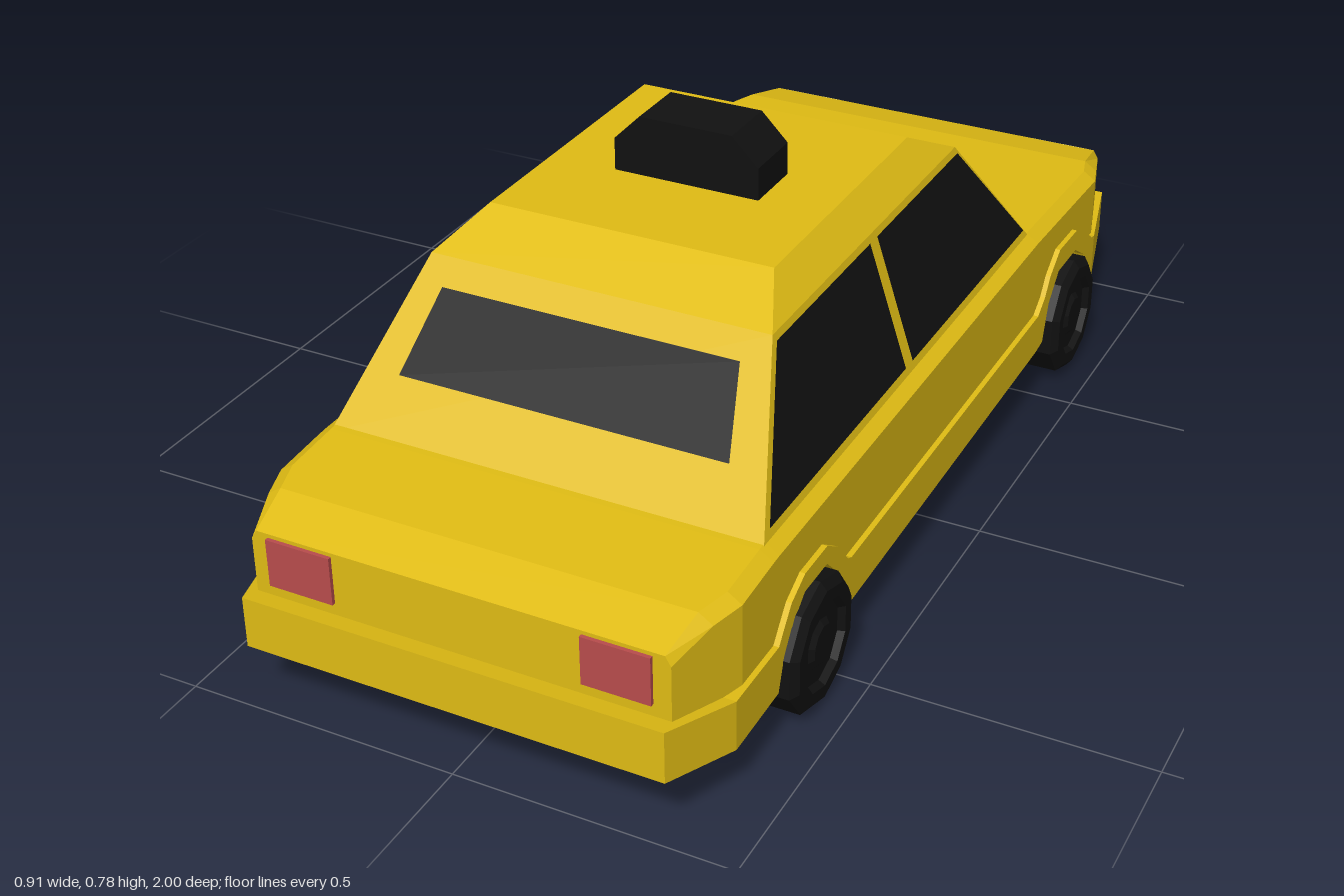
import * as THREE from 'three';

const paint = (color, extra = {}) => new THREE.MeshStandardMaterial({ color, flatShading: true, ...extra });
const yellow = paint(0xe0bc14);
const black = paint(0x111111);
const glass = paint(0x111111, { side: THREE.DoubleSide });
const red = paint(0xb84c4c);
const cream = paint(0xd6d69a);

function facets(points) {
  const geo = new THREE.BufferGeometry();
  geo.setAttribute('position', new THREE.Float32BufferAttribute(points.flat(), 3));
  geo.computeVertexNormals();
  return geo;
}

// Closed skin through rings that run counter-clockwise about the loft direction
function loft(rings) {
  const pts = [], n = rings[0].length, last = rings[rings.length - 1];
  for (let i = 0; i < rings.length - 1; i++) {
    for (let j = 0; j < n; j++) {
      const k = (j + 1) % n;
      const a = rings[i][j], b = rings[i][k], c = rings[i + 1][k], d = rings[i + 1][j];
      pts.push(a, b, c, a, c, d);
    }
  }
  for (let j = 1; j < n - 1; j++) {
    pts.push(rings[0][0], rings[0][j + 1], rings[0][j], last[0], last[j], last[j + 1]);
  }
  return facets(pts);
}

// Piecewise linear lookup in a table of [position, value]
function lookup(table, t) {
  if (t <= table[0][0]) return table[0][1];
  for (let i = 1; i < table.length; i++) {
    const [t0, v0] = table[i - 1], [t1, v1] = table[i];
    if (t <= t1) return v0 + (v1 - v0) * (t - t0) / (t1 - t0);
  }
  return table[table.length - 1][1];
}

// Sill, bumpers and wheel arches: [z, bottom y, top y]
const SILL = [
  [-1, 0.13, 0.215], [-0.8, 0.115, 0.215], [-0.785, 0.118, 0.218], [-0.74, 0.2, 0.25],
  [-0.68, 0.238, 0.282], [-0.58, 0.238, 0.285], [-0.53, 0.19, 0.25], [-0.505, 0.115, 0.215],
  [-0.47, 0.11, 0.19], [0.43, 0.095, 0.185], [0.445, 0.1, 0.192], [0.485, 0.19, 0.24],
  [0.53, 0.235, 0.27], [0.615, 0.235, 0.27], [0.665, 0.195, 0.245], [0.69, 0.16, 0.215],
  [0.71, 0.1, 0.19], [0.86, 0.097, 0.19], [1, 0.118, 0.213],
];
const SILL_WIDTH = [[-1, 0.38], [-0.8, 0.43], [0.86, 0.43], [1, 0.38]];
const BODY_WIDTH = [[-0.965, 0.375], [-0.81, 0.42], [0.82, 0.42], [0.965, 0.375]];
const BODY_TOP = [[-0.965, 0.325], [-0.86, 0.348], [-0.47, 0.365], [0.7, 0.365], [0.88, 0.352], [0.965, 0.325]];

// Cabin levels: [y, half width, front z, rear z]
const CABIN = [[0.355, 0.4, -0.475, 0.705], [0.615, 0.315, -0.27, 0.5], [0.67, 0.265, -0.16, 0.39]];
const cabinAt = (y, column) => lookup(CABIN.map((l) => [l[0], l[column]]), y);

export function createModel() {
  const car = new THREE.Group();
  car.name = 'car';
  const add = (name, geo, mat, x = 0, y = 0, z = 0) => {
    const mesh = new THREE.Mesh(geo, mat);
    mesh.name = name;
    mesh.position.set(x, y, z);
    car.add(mesh);
    return mesh;
  };

  // Sill band with bumpers and flared arches
  add('sillAndBumpers', loft(SILL.map(([z, lo, hi]) => {
    const w = lookup(SILL_WIDTH, z);
    return [[-w, lo, z], [w, lo, z], [w, hi, z], [-w, hi, z]];
  })), yellow);

  // Main body, its underside tucked inside the sill band
  const middle = SILL.map(([z, lo, hi]) => [z, (lo + hi) / 2]);
  const stations = [...middle.map(([z]) => z).filter((z) => Math.abs(z) < 0.95),
    -0.965, -0.86, -0.81, 0.82, 0.88, 0.965].sort((a, b) => a - b);
  add('body', loft(stations.map((z) => {
    const w = lookup(BODY_WIDTH, z), top = lookup(BODY_TOP, z), lo = lookup(middle, z);
    const inset = Math.abs(z) > 0.95 ? 0.01 : 0.025;
    const edge = top - 0.017;
    return [[-w, lo, z], [w, lo, z], [w, edge, z], [w - inset, top, z], [inset - w, top, z], [-w, edge, z]];
  })), yellow);

  // Cabin and roof
  add('cabin', loft(CABIN.map(([y, w, front, rear]) =>
    [[w, y, rear], [w, y, front], [-w, y, front], [-w, y, rear]])), yellow);

  // Windows: thin panes just proud of the cabin
  const gap = 0.003;
  const pane = (name, [a, b, c, d]) => add(name, facets([a, b, c, a, c, d]), glass);
  const sidePanes = {
    frontSideWindow: [[-0.45, 0.38], [-0.268, 0.605], [0.1, 0.605], [0.1, 0.38]],
    rearSideWindow: [[0.13, 0.38], [0.13, 0.605], [0.497, 0.605], [0.673, 0.38]],
  };
  for (const s of [1, -1]) {
    for (const [name, corners] of Object.entries(sidePanes)) {
      const pts = corners.map(([z, y]) => [s * (cabinAt(y, 1) + gap), y, z]);
      pane(name, s > 0 ? pts : pts.reverse());
    }
  }
  const endPane = (name, column, s, y0, w0, y1, w1) => {
    const z0 = cabinAt(y0, column) + s * gap, z1 = cabinAt(y1, column) + s * gap;
    pane(name, [[-s * w0, y0, z0], [s * w0, y0, z0], [s * w1, y1, z1], [-s * w1, y1, z1]]);
  };
  endPane('windshield', 2, -1, 0.37, 0.37, 0.6, 0.29);
  endPane('rearWindow', 3, 1, 0.45, 0.305, 0.575, 0.275);

  // Lights
  for (const s of [1, -1]) {
    add('tailLight', new THREE.BoxGeometry(0.12, 0.088, 0.02), red, s * 0.284, 0.274, 0.962);
    add('headlight', new THREE.BoxGeometry(0.125, 0.088, 0.03), cream, s * 0.287, 0.274, -0.965);
  }

  // Roof sign box
  const sign = new THREE.Shape([[-0.1375, 0.665], [0.1375, 0.665], [0.1375, 0.73], [0.088, 0.78],
    [-0.088, 0.78], [-0.1375, 0.73]].map(([x, y]) => new THREE.Vector2(x, y)));
  add('roofSign', new THREE.ExtrudeGeometry(sign, { depth: 0.115, bevelEnabled: false }), black, 0, 0, 0.07);

  // Wheels with a recessed rim, and axles
  const profile = [[0, 0], [0.12, 0], [0.12, 0.066], [0.105, 0.078], [0.082, 0.078], [0.075, 0.066], [0.045, 0.066],
    [0.035, 0.074], [0, 0.074]].map(([r, h]) => new THREE.Vector2(r, h));
  const wheelGeo = new THREE.LatheGeometry(profile, 10, Math.PI / 10);
  const axleGeo = new THREE.CylinderGeometry(0.04, 0.04, 0.76, 10);
  for (const z of [0.58, -0.64]) {
    for (const s of [1, -1]) {
      add('wheel', wheelGeo, black, s * 0.375, 0.115, z).rotation.z = -s * Math.PI / 2;
    }
    add('axle', axleGeo, black, 0, 0.115, z).rotation.z = Math.PI / 2;
  }
  return car;
}
